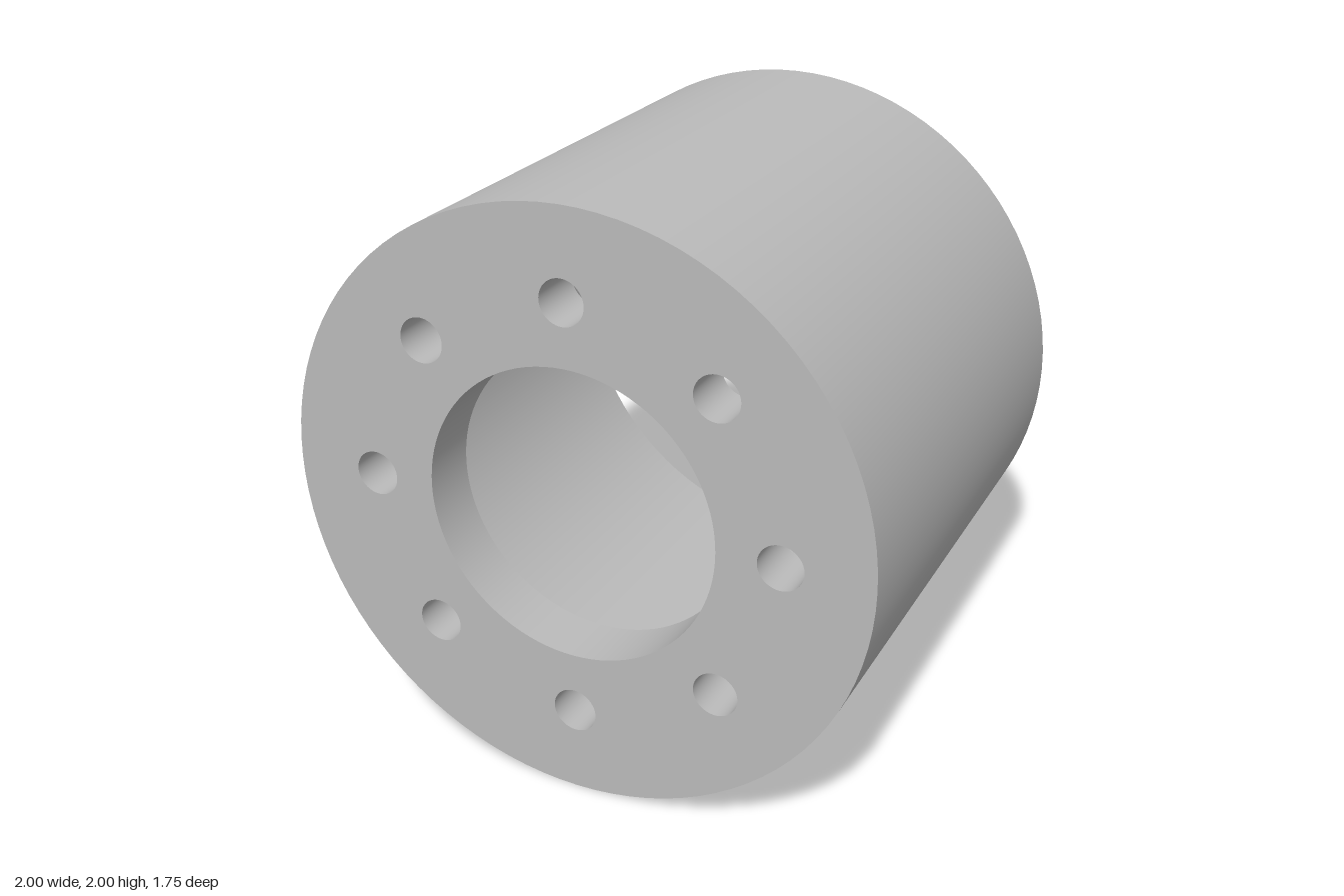
import * as THREE from 'three';

const SEGMENTS = 96;
const OUTER = 1, CUP = 0.89, BORE = 0.495;
const FRONT = 0.875, BACK = -0.875, FLOOR = 0.675;
const HOLE = 0.075, HOLE_CIRCLE = 0.703, HOLE_COUNT = 8;

export function createModel() {
  const model = new THREE.Group();
  model.name = 'flangedSleeve';
  const metal = new THREE.MeshStandardMaterial({ color: 0xbbbbbb });
  metal.name = 'grey metal';

  const add = (name, geometry, x = 0, y = 0, z = 0) => {
    const mesh = new THREE.Mesh(geometry, metal);
    mesh.name = name;
    mesh.position.set(x, y + OUTER, z);
    model.add(mesh);
  };

  // Round wall along z: faces outward when z0 < z1, inward when z0 > z1
  const wall = (r, z0, z1) => new THREE.LatheGeometry(
    [new THREE.Vector2(r, z0), new THREE.Vector2(r, z1)], SEGMENTS).rotateX(Math.PI / 2);

  const holeCentres = [];
  for (let i = 0; i < HOLE_COUNT; i++) {
    const a = i / HOLE_COUNT * Math.PI * 2;
    holeCentres.push([HOLE_CIRCLE * Math.cos(a), HOLE_CIRCLE * Math.sin(a)]);
  }

  // Disc with the central bore and the ring of bolt holes cut out
  const drilledDisc = (r) => {
    const shape = new THREE.Shape().absarc(0, 0, r, 0, Math.PI * 2);
    const cut = (x, y, radius) =>
      shape.holes.push(new THREE.Path().absarc(x, y, radius, 0, Math.PI * 2, true));
    cut(0, 0, BORE);
    holeCentres.forEach(([x, y]) => cut(x, y, HOLE));
    return new THREE.ShapeGeometry(shape, SEGMENTS / 2);
  };

  // Cylindrical shell, open at the back
  add('outerWall', wall(OUTER, BACK, FRONT));
  add('innerWall', wall(CUP, FLOOR, BACK));
  add('backRim', new THREE.RingGeometry(CUP, OUTER, SEGMENTS).rotateY(Math.PI), 0, 0, BACK);

  // Front flange: outside face, inside face and central bore
  add('flangeFront', drilledDisc(OUTER), 0, 0, FRONT);
  add('flangeInside', drilledDisc(CUP).rotateY(Math.PI), 0, 0, FLOOR);
  add('bore', wall(BORE, FRONT, FLOOR));

  // Bolt hole walls
  holeCentres.forEach(([x, y]) => add('boltHole', wall(HOLE, FRONT, FLOOR), x, y));

  return model;
}
